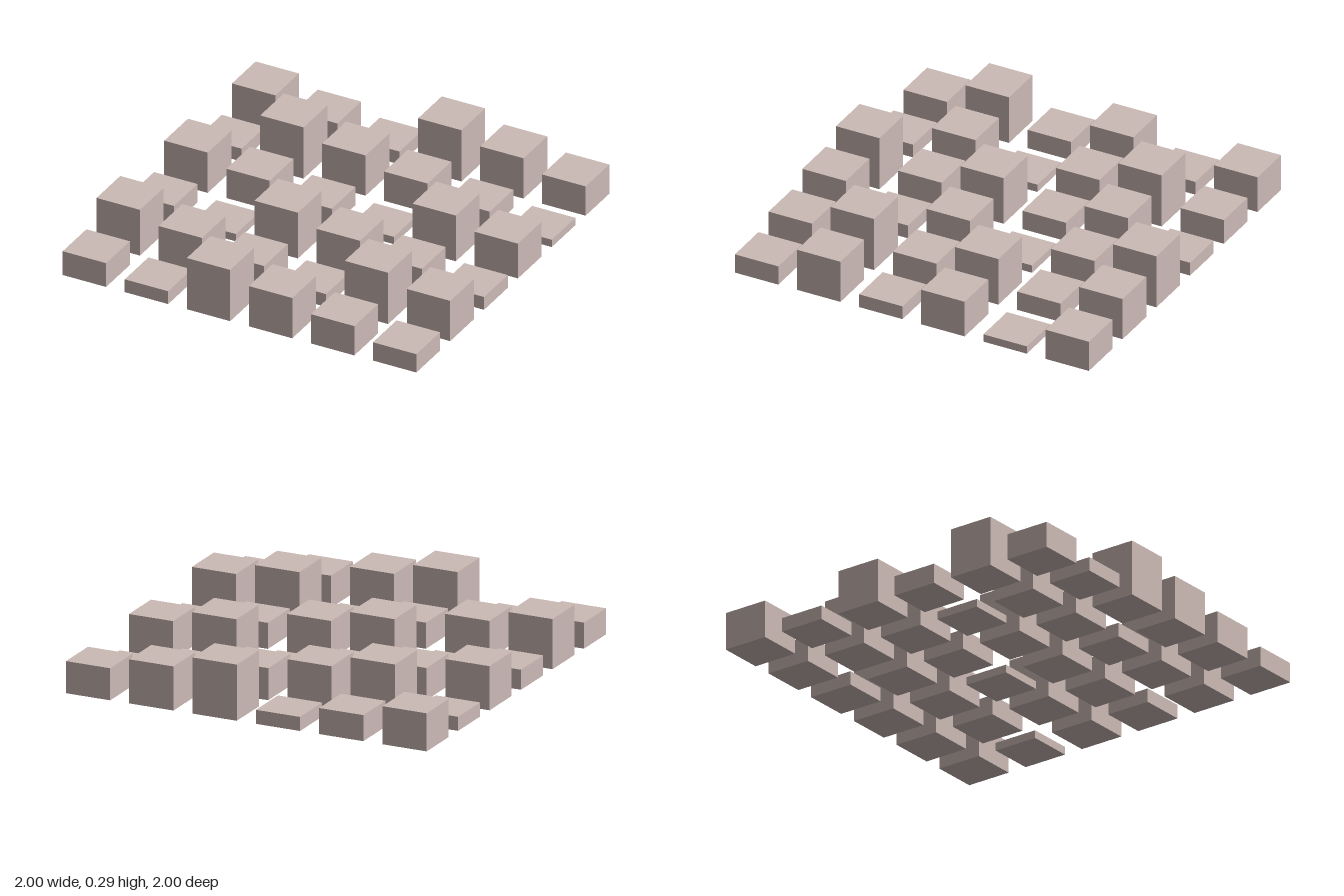
import * as THREE from 'three';

// A 6 x 6 field of square blocks whose heights step through nine levels.
export function createModel() {
  const group = new THREE.Group();
  group.name = 'blockField';
  const material = new THREE.MeshStandardMaterial({ color: 0xccbab6 });

  const count = 6;
  const pitch = 2 / 5.7;        // distance between block centres
  const size = 0.7 * pitch;     // block width and depth

  for (let row = 0; row < count; row++) {       // from front to back
    for (let col = 0; col < count; col++) {     // from -x to +x
      const level = (3 + 7 * col + 4 * row) % 9;
      const height = (0.12 + 0.09 * level) * pitch;
      const block = new THREE.Mesh(new THREE.BoxGeometry(size, height, size), material);
      block.name = `blockRow${row + 1}Column${col + 1}`;
      block.position.set((col - 2.5) * pitch, height / 2, (2.5 - row) * pitch);
      group.add(block);
    }
  }
  return group;
}
